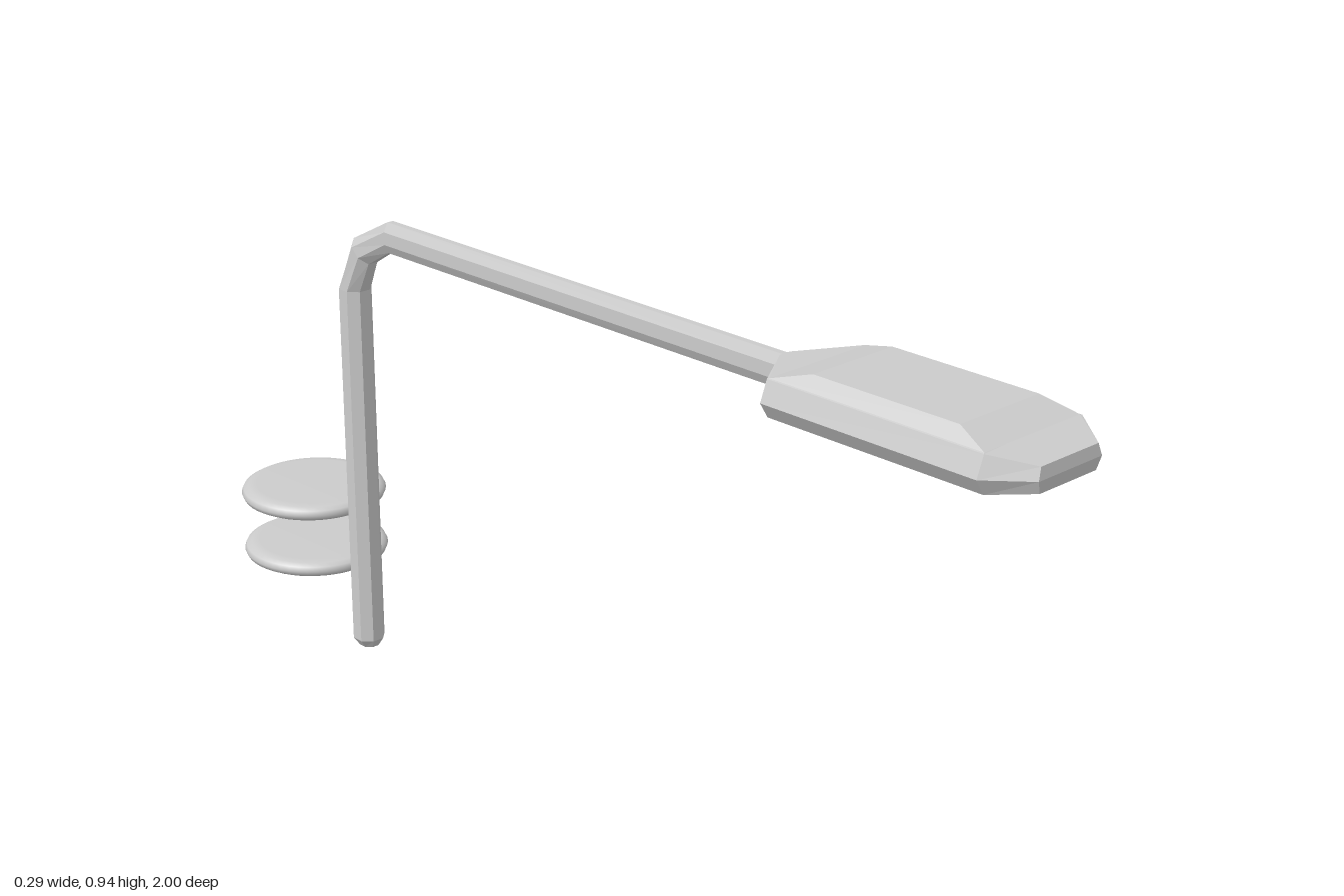
import * as THREE from 'three';

const material = new THREE.MeshStandardMaterial({ color: 0xcccccc });

// Joins closed rings of points (counter-clockwise about the travel direction) into a flat-shaded solid.
function loft(rings) {
  const pos = [];
  const tri = (a, b, c) => pos.push(...a.toArray(), ...b.toArray(), ...c.toArray());
  const count = rings[0].length;
  const centre = ring => ring.reduce((s, p) => s.add(p), new THREE.Vector3()).divideScalar(count);
  const last = rings[rings.length - 1];
  const c0 = centre(rings[0]), c1 = centre(last);
  for (let i = 0; i < count; i++) {
    const j = (i + 1) % count;
    for (let r = 0; r < rings.length - 1; r++) {
      const a = rings[r], b = rings[r + 1];
      tri(a[i], a[j], b[j]);
      tri(a[i], b[j], b[i]);
    }
    tri(c0, rings[0][j], rings[0][i]);
    tri(c1, last[i], last[j]);
  }
  const geometry = new THREE.BufferGeometry();
  geometry.setAttribute('position', new THREE.Float32BufferAttribute(pos, 3));
  geometry.computeVertexNormals();
  return geometry;
}

// Octagonal section; angle 0 travels upward, 90 degrees travels forward.
function octagon(y, z, degrees, halfWidth, halfDepth) {
  const t = THREE.MathUtils.degToRad(degrees), k = 0.41;
  const corners = [[1, -k], [1, k], [k, 1], [-k, 1], [-1, k], [-1, -k], [-k, -1], [k, -1]];
  return corners.map(([u, v]) => new THREE.Vector3(
    u * halfWidth,
    y + v * halfDepth * Math.sin(t),
    z - v * halfDepth * Math.cos(t)
  ));
}

// One level of the lamp head: [half width, y, z] at the neck, body back, body front and tip.
function headRing(neck, back, front, tip) {
  const right = [front, back, neck];
  const left = [neck, back, front, tip].map(([x, y, z]) => [-x, y, z]);
  return [...right, ...left, tip].map(p => new THREE.Vector3(...p));
}

export function createModel() {
  const group = new THREE.Group();
  const add = (name, geometry) => {
    const mesh = new THREE.Mesh(geometry, material);
    mesh.name = name;
    group.add(mesh);
    return mesh;
  };

  // Upright pole bending into the narrow forward arm
  add('poleAndArm', loft([
    octagon(0, -0.69, 0, 0.018, 0.02),
    octagon(0.018, -0.69, 0, 0.03, 0.03),
    octagon(0.76, -0.69, 0, 0.03, 0.03),
    octagon(0.843, -0.653, 45, 0.026, 0.03),
    octagon(0.886, -0.575, 90, 0.016, 0.03),
    octagon(0.887, 0.45, 90, 0.015, 0.03),
  ]));

  // Lamp housing, from the recess underneath up to the raised top panel
  add('lampHousing', loft([
    headRing([0.04, 0.872, 0.49], [0.1, 0.872, 0.53], [0.1, 0.872, 0.91], [0.06, 0.872, 0.955]),
    headRing([0.04, 0.856, 0.49], [0.102, 0.856, 0.53], [0.102, 0.856, 0.91], [0.06, 0.862, 0.96]),
    headRing([0.012, 0.857, 0.43], [0.112, 0.856, 0.5], [0.112, 0.856, 0.93], [0.067, 0.865, 0.997]),
    headRing([0.016, 0.886, 0.43], [0.13, 0.884, 0.5], [0.13, 0.884, 0.93], [0.075, 0.887, 1]),
    headRing([0.012, 0.917, 0.43], [0.116, 0.921, 0.5], [0.116, 0.921, 0.93], [0.068, 0.908, 0.997]),
    headRing([0.04, 0.922, 0.502], [0.113, 0.922, 0.502], [0.113, 0.922, 0.928], [0.06, 0.922, 0.928]),
    headRing([0.04, 0.943, 0.575], [0.093, 0.943, 0.575], [0.093, 0.943, 0.865], [0.06, 0.943, 0.865]),
  ]));

  // Shallow glass bowl under the housing
  const lens = add('lens', new THREE.SphereGeometry(1, 40, 12, 0, Math.PI * 2, Math.PI / 2, Math.PI / 2));
  lens.scale.set(0.098, 0.037, 0.205);
  lens.position.set(0, 0.867, 0.71);

  // Two round-edged discs behind the pole
  const profile = [
    [0, -0.0165], [0.115, -0.0165], [0.132, -0.0145], [0.142, -0.009], [0.146, 0],
    [0.142, 0.009], [0.132, 0.0145], [0.115, 0.0165], [0, 0.0165],
  ].map(p => new THREE.Vector2(...p));
  const disc = new THREE.LatheGeometry(profile, 48);
  [['lowerDisc', 0.17], ['upperDisc', 0.292]].forEach(([name, y]) => {
    add(name, disc).position.set(0, y, -0.854);
  });

  return group;
}
